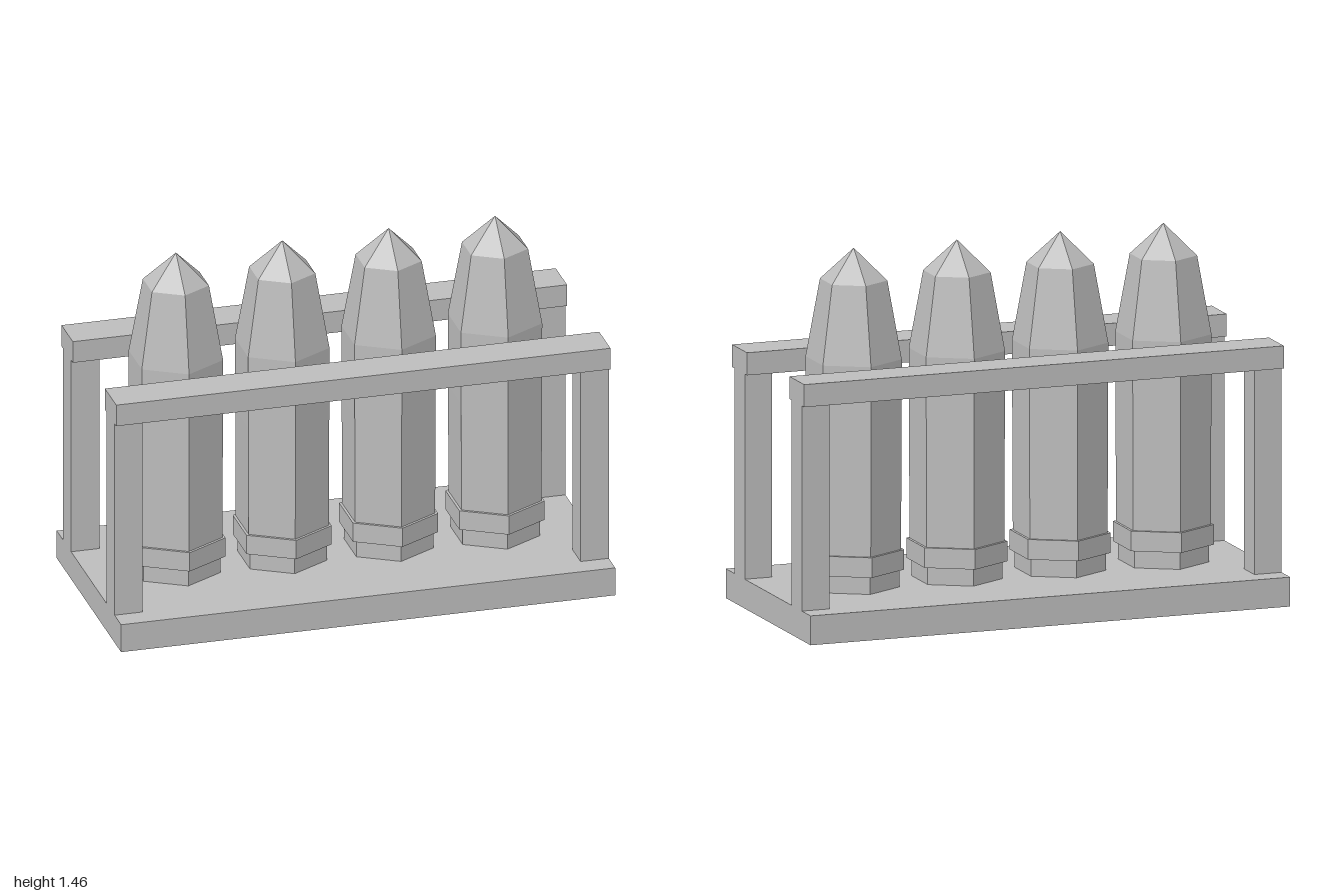
import * as THREE from 'three';

export function createModel() {
  const group = new THREE.Group();
  const grey = new THREE.MeshStandardMaterial({ color: 0xbdbdbd, flatShading: true });
  grey.name = 'plain grey';

  // Box given by its centre in x and z and its bottom and top heights
  function box(name, width, depth, bottom, top, x, z) {
    const mesh = new THREE.Mesh(new THREE.BoxGeometry(width, top - bottom, depth), grey);
    mesh.position.set(x, (bottom + top) / 2, z);
    mesh.name = name;
    group.add(mesh);
  }

  // Base plate, with a rail on two posts along the front and the back
  box('base', 2, 0.928, 0, 0.117, 0, 0);
  for (const [end, z] of [['front', 0.313], ['back', -0.313]]) {
    box(end + 'Rail', 2, 0.163, 0.935, 1.025, 0, z);
    for (const [side, x] of [['Left', 0.943], ['Right', -0.943]]) {
      box(end + side + 'Post', 0.114, 0.114, 0.117, 0.935, x, z);
    }
  }

  // Six-sided shell: foot, collar, straight body, tapered shoulder and pointed tip
  const profile = [
    [0, 0.117], [0.18, 0.117], [0.18, 0.187], [0.199, 0.187], [0.199, 0.267],
    [0.187, 0.267], [0.189, 0.72], [0.19, 1.025], [0.133, 1.337], [0, 1.463],
  ].map(([r, y]) => new THREE.Vector2(r, y));
  const shellGeometry = new THREE.LatheGeometry(profile, 6);
  for (let i = 0; i < 4; i++) {
    const shell = new THREE.Mesh(shellGeometry, grey);
    shell.position.x = -0.648 + i * 0.4305;
    shell.name = 'shell' + (i + 1);
    group.add(shell);
  }
  return group;
}
